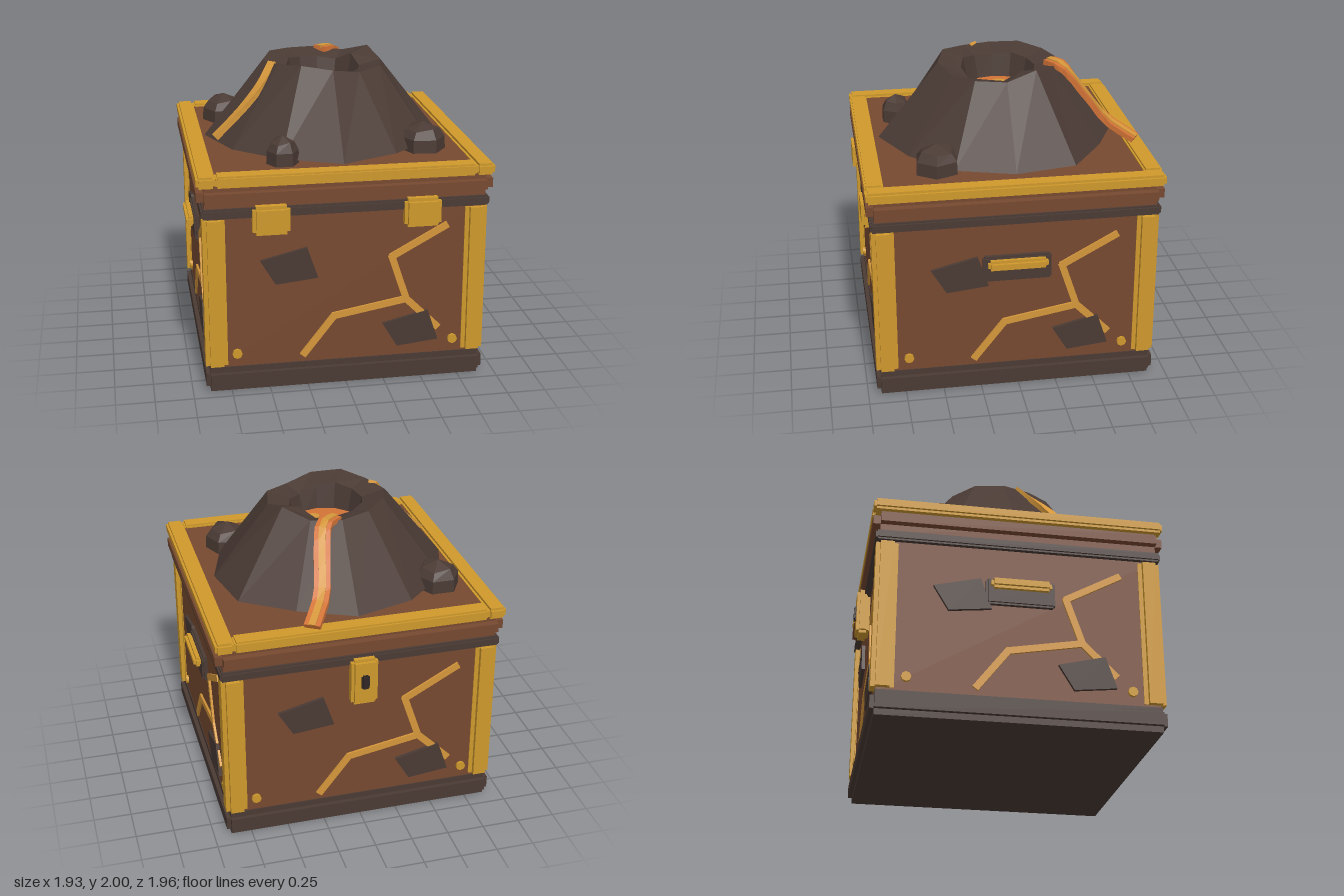
import * as THREE from 'three';
import { mergeGeometries } from 'three/addons/utils/BufferGeometryUtils.js';

const mat = (name, color) => Object.assign(new THREE.MeshStandardMaterial({ color }), { name });

export function createModel() {
  const wood = mat('brown wood', 0x774930);
  const rock = mat('dark rock', 0x4a3a34);
  const gold = mat('gold trim', 0xcf982c);
  const vein = mat('glowing vein', 0xd4963a);
  const lava = mat('orange lava', 0xd27336);
  const black = mat('keyhole black', 0x2f2624);

  const root = new THREE.Group();
  root.name = 'volcanoChest';
  const chest = new THREE.Group();
  chest.name = 'chest';
  chest.position.z = 0.015;
  root.add(chest);

  const add = (parent, name, geo, material, x = 0, y = 0, z = 0) => {
    const m = new THREE.Mesh(geo, material);
    m.name = name;
    m.position.set(x, y, z);
    parent.add(m);
    return m;
  };

  // Box whose edges are notched by a small step
  const stepped = (w, h, d, s, sy = s) => mergeGeometries([
    new THREE.BoxGeometry(w, h - 2 * sy, d - 2 * s),
    new THREE.BoxGeometry(w - 2 * s, h, d - 2 * s),
    new THREE.BoxGeometry(w - 2 * s, h - 2 * sy, d),
  ]);

  // Faceted skin over closed rings of points
  const skin = (rings) => {
    const n = rings[0].length, pos = [];
    for (let r = 0; r < rings.length - 1; r++) {
      for (let i = 0; i < n; i++) {
        const j = (i + 1) % n, a = rings[r], b = rings[r + 1];
        for (const p of [a[i], b[i], a[j], a[j], b[i], b[j]]) pos.push(p.x, p.y, p.z);
      }
    }
    const g = new THREE.BufferGeometry();
    g.setAttribute('position', new THREE.Float32BufferAttribute(pos, 3));
    g.computeVertexNormals();
    return g;
  };
  const ring = (n, radius, y, turn = 0) => Array.from({ length: n }, (_, i) => {
    const a = (i / n) * Math.PI * 2 + turn, r = radius(i);
    return new THREE.Vector3(Math.cos(a) * r, y(i), Math.sin(a) * r);
  });

  // Base, body, band and lid
  add(chest, 'base', stepped(1.826, 0.165, 1.85, 0.028, 0.04), rock, 0, 0.0825, 0);
  add(chest, 'body', new THREE.BoxGeometry(1.76, 1.04, 1.78), wood, 0, 0.67, 0);
  add(chest, 'rimBand', stepped(1.84, 0.065, 1.86, 0.012), rock, 0, 1.215, 0);
  add(chest, 'lid', stepped(1.89, 0.18, 1.9, 0.048, 0.06), wood, 0, 1.325, 0);
  add(chest, 'lidPanel', new THREE.BoxGeometry(1.7, 0.06, 1.7), wood, 0, 1.415, 0);

  // Corner posts and lid trim
  for (const sx of [-1, 1]) {
    for (const sz of [-1, 1]) {
      const post = mergeGeometries([
        new THREE.BoxGeometry(0.143, 0.99, 0.087),
        new THREE.BoxGeometry(0.087, 0.99, 0.143),
      ]);
      add(chest, 'cornerPost', post, gold, sx * 0.842, 0.675, sz * 0.853);
    }
    add(chest, 'lidTrimSide', stepped(0.12, 0.075, 1.9, 0.016), gold, sx * 0.885, 1.427, 0);
    add(chest, 'lidTrimEnd', stepped(1.65, 0.075, 0.12, 0.012), gold, 0, 1.428, sx * 0.89);
  }

  // Cracks, rock shards and bolts, the same on all four faces
  const cracks = [
    [-0.28, 0.217, -0.08, 0.475], [-0.08, 0.475, 0.395, 0.56], [0.395, 0.56, 0.295, 0.86],
    [0.295, 0.86, 0.65, 1.055], [0.395, 0.56, 0.605, 0.35],
  ];
  const shardShape = new THREE.Shape([
    [-0.205, 0.034], [0.095, 0.108], [0.165, -0.1], [-0.108, -0.13],
  ].map(([x, y]) => new THREE.Vector2(x, y)));
  for (let k = 0; k < 4; k++) {
    const face = new THREE.Group();
    face.name = 'wallDetails';
    face.rotation.y = (k * Math.PI) / 2;
    chest.add(face);
    const wall = k % 2 ? 0.88 : 0.89;
    for (const [x1, y1, x2, y2] of cracks) {
      const len = Math.hypot(x2 - x1, y2 - y1) + 0.02;
      const c = add(face, 'crack', new THREE.BoxGeometry(len, 0.045, 0.03), vein,
        (x1 + x2) / 2, (y1 + y2) / 2, wall);
      c.rotation.z = Math.atan2(y2 - y1, x2 - x1);
    }
    for (const [x, y] of [[-0.35, 0.852], [0.443, 0.366]]) {
      const g = new THREE.ExtrudeGeometry(shardShape, { depth: 0.03, bevelEnabled: false });
      add(face, 'rockShard', g, rock, x, y, wall - 0.007);
    }
    for (const x of [-0.71, 0.71]) {
      const g = new THREE.CylinderGeometry(0.032, 0.032, 0.04, 8).rotateX(Math.PI / 2);
      add(face, 'bolt', g, gold, x, 0.255, wall);
    }
  }

  // Side handles
  for (const s of [-1, 1]) {
    add(chest, 'handlePlate', stepped(0.05, 0.175, 0.445, 0.012), rock, s * 0.892, 0.873, 0);
    add(chest, 'handleBar', stepped(0.06, 0.068, 0.39, 0.018), gold, s * 0.937, 0.915, 0);
  }

  // Front hinges and back latch
  for (const s of [-1, 1]) {
    add(chest, 'hinge', stepped(0.238, 0.19, 0.09, 0.022), gold, s * 0.483, 1.165, 0.92);
  }
  add(chest, 'latch', stepped(0.176, 0.325, 0.09, 0.02), gold, 0, 1.073, -0.935);
  add(chest, 'keyhole', stepped(0.052, 0.1, 0.03, 0.008), black, 0, 1.08, -0.98);

  // Volcano cone with an uneven rim and a crater
  const baseR = [0.772, 0.76, 0.745, 0.815, 0.747, 0.766, 0.813, 0.795, 0.78, 0.797, 0.726, 0.8];
  const rimY = [1.945, 1.95, 1.935, 1.97, 1.995, 1.975, 1.965, 1.985, 1.97, 1.96, 1.945, 2.0];
  const cone = skin([
    ring(12, (i) => baseR[i], () => 1.465),
    ring(12, (i) => 0.395 + 0.015 * Math.sin(i * 2.3), (i) => rimY[i]),
    ring(12, () => 0.25, (i) => rimY[i] - 0.04),
    ring(12, () => 0.21, () => 1.75),
  ]);
  add(root, 'volcanoCone', cone, rock);
  add(root, 'lavaPool', new THREE.CylinderGeometry(0.222, 0.222, 0.03, 12), lava, 0, 1.765, 0);
  add(root, 'lavaSpot', new THREE.CylinderGeometry(0.057, 0.057, 0.02, 14), vein, -0.07, 1.78, -0.02);
  add(root, 'lavaSpot', new THREE.CylinderGeometry(0.04, 0.04, 0.02, 14), vein, 0.063, 1.78, 0.078);

  // Boulders around the cone
  for (const [x, z, r, turn] of [[-0.635, -0.47, 0.15, 0], [0.583, 0.485, 0.152, 0.1], [-0.37, 0.665, 0.106, 0]]) {
    const g = skin([
      ring(6, () => r, () => 1.44, turn),
      ring(6, () => r * 0.97, () => 1.53, turn),
      ring(6, () => r * 0.72, (i) => 1.585 + 0.012 * Math.sin(i * 2), turn),
      ring(6, () => 0, () => 1.63, turn),
    ]);
    add(root, 'boulder', g, rock, x, 0, z);
  }

  // Lava streams: flat ribbons flowing down the cone
  const ribbon = (points, width, thick, lift = 0) => {
    const curve = new THREE.CatmullRomCurve3(points.map((p) => new THREE.Vector3(...p)));
    const rings = [], steps = 10;
    for (let i = 0; i <= steps; i++) {
      const p = curve.getPoint(i / steps), t = curve.getTangent(i / steps);
      const side = new THREE.Vector3(-t.z, 0, t.x).normalize();
      const up = side.clone().cross(t).normalize();
      p.addScaledVector(up, lift);
      const section = [[-1, -1], [1, -1], [1, 1], [-1, 1]].map(([a, b]) => p.clone()
        .addScaledVector(side, (a * width) / 2).addScaledVector(up, (b * thick) / 2));
      const cap = section.map(() => p.clone());
      if (i === 0) rings.push(cap);
      rings.push(section);
      if (i === steps) rings.push(cap);
    }
    return skin(rings);
  };
  const backFlow = [[0.03, 1.955, -0.34], [0.12, 1.945, -0.41], [0.17, 1.79, -0.54],
    [0.215, 1.59, -0.7], [0.325, 1.48, -0.88]];
  const sideFlow = [[-0.355, 1.97, 0.11], [-0.44, 1.85, 0.19], [-0.57, 1.71, 0.25], [-0.765, 1.525, 0.285]];
  add(root, 'lavaStreamBack', ribbon(backFlow, 0.105, 0.035), lava);
  add(root, 'lavaStreamCore', ribbon(backFlow, 0.045, 0.02, 0.015), vein);
  add(root, 'lavaStreamSide', ribbon(sideFlow, 0.06, 0.035), vein);

  return root;
}
